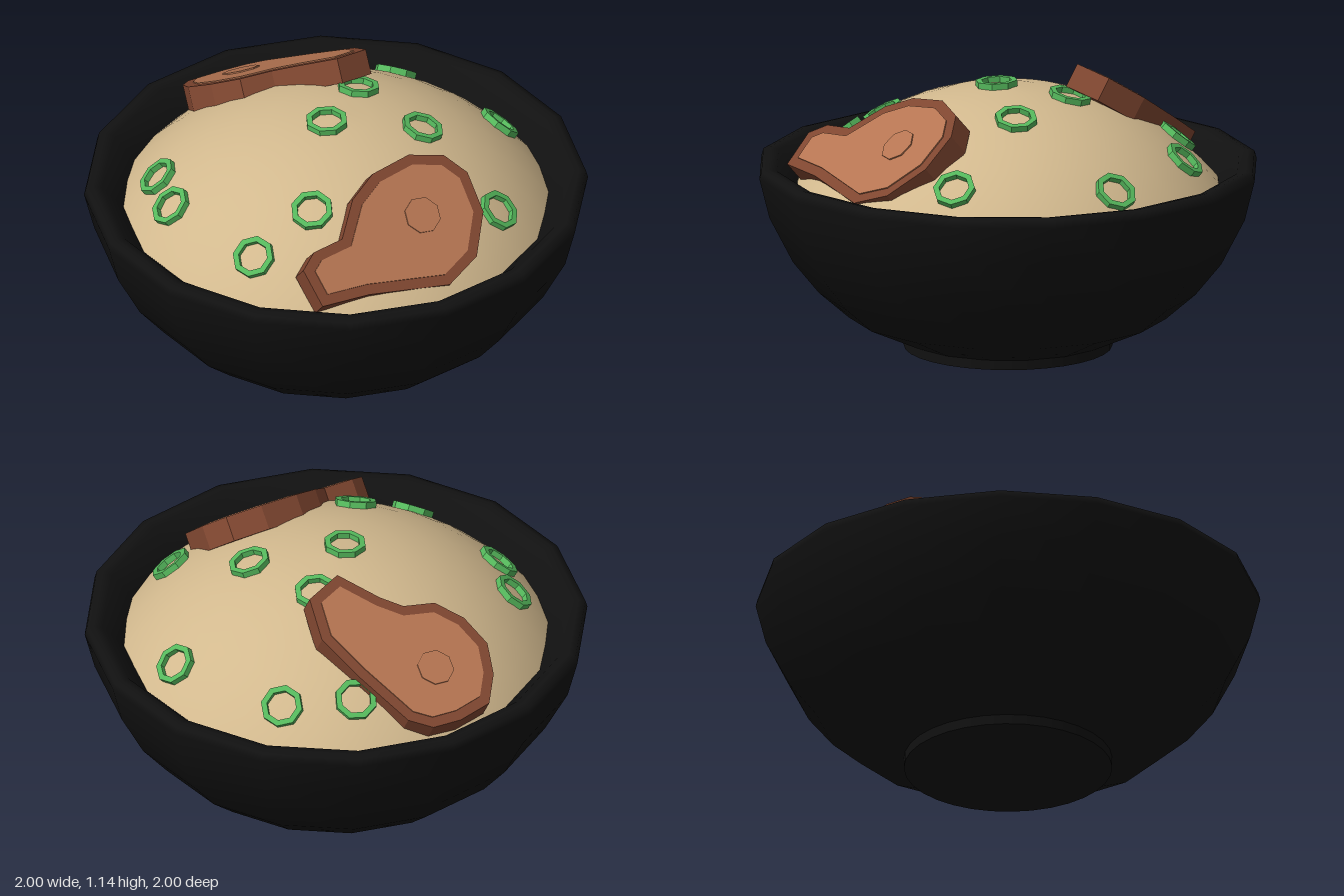
import * as THREE from 'three';

const mat = (name, color, extra = {}) => {
  const m = new THREE.MeshStandardMaterial({ color, ...extra });
  m.name = name;
  return m;
};
const V2 = (x, y) => new THREE.Vector2(x, y);

// Rice dome: cap of a sphere
const DOME_R = 1.086, DOME_Y = -0.03;
const domeHeight = r => Math.sqrt(DOME_R * DOME_R - r * r) + DOME_Y;

function addMesh(parent, name, geometry, material) {
  const mesh = new THREE.Mesh(geometry, material);
  mesh.name = name;
  parent.add(mesh);
  return mesh;
}

// Moves every edge of a counter-clockwise outline inwards by d
function inset(pts, d) {
  const n = pts.length;
  return pts.map((p, i) => {
    const a = p.clone().sub(pts[(i + n - 1) % n]).normalize();
    const b = pts[(i + 1) % n].clone().sub(p).normalize();
    const na = V2(-a.y, a.x), nb = V2(-b.y, b.x);
    const m = na.clone().add(nb).normalize();
    return p.clone().addScaledVector(m, d / Math.max(0.6, m.dot(na)));
  });
}

// Slab lying on the plane through p with slopes sx, sz; outline is given in plan (x, z)
function meatSlice(name, p, sx, sz, plan, mats) {
  const n = new THREE.Vector3(-sx, 1, -sz).normalize();
  const u = new THREE.Vector3(1, sx, 0).normalize();
  const v = n.clone().cross(u);
  let pts = plan.map(([x, z]) => {
    const q = new THREE.Vector3(x - p.x, sx * (x - p.x) + sz * (z - p.z), z - p.z);
    return V2(q.dot(u), q.dot(v));
  });
  if (THREE.ShapeUtils.area(pts) < 0) pts.reverse();

  const group = new THREE.Group();
  group.name = name;
  const T = 0.1;
  const slab = addMesh(group, 'meatSlab',
    new THREE.ExtrudeGeometry(new THREE.Shape(pts), { depth: T, bevelEnabled: false }), mats.crust);
  slab.position.z = -T;
  addMesh(group, 'meatFace', new THREE.ExtrudeGeometry(new THREE.Shape(inset(pts, 0.042)),
    { depth: 0.005, bevelEnabled: false }), mats.meat);
  // round bone mark
  const bone = addMesh(group, 'boneMark', new THREE.CylinderGeometry(0.075, 0.075, 0.009, 8), mats.meat);
  bone.rotation.x = Math.PI / 2;
  bone.position.z = 0.006;

  group.quaternion.setFromRotationMatrix(new THREE.Matrix4().makeBasis(u, v, n));
  group.position.copy(p);
  return group;
}

export function createModel() {
  const model = new THREE.Group();
  model.name = 'riceBowl';
  const black = mat('bowlBlack', 0x111111);
  const rice = mat('riceBeige', 0xd2b98e);
  const green = mat('onionGreen', 0x55b85c, { flatShading: true });
  const mats = {
    crust: mat('crustBrown', 0x7f4630, { flatShading: true }),
    meat: mat('meatBrown', 0xb57552, { flatShading: true }),
  };

  // Bowl: outside, rim and inside in one profile
  const profile = [[0, 0.04], [0.42, 0.04], [0.64, 0.14], [0.76, 0.245], [0.865, 0.375], [0.96, 0.56],
    [1, 0.72], [0.992, 0.75], [0.965, 0.757], [0.93, 0.75], [0.85, 0.665], [0.7, 0.4], [0, 0.15]];
  addMesh(model, 'bowl', new THREE.LatheGeometry(profile.map(([r, y]) => V2(r, y)), 16), black);

  // Foot
  addMesh(model, 'foot', new THREE.CylinderGeometry(0.413, 0.413, 0.06, 32), black).position.y = 0.03;

  // Rice mound
  const dome = [];
  for (let i = 0; i <= 10; i++) {
    const r = 0.87 * Math.cos((i / 10) * Math.PI / 2);
    dome.push(V2(i === 10 ? 0 : r, domeHeight(r)));
  }
  addMesh(model, 'riceMound', new THREE.LatheGeometry(dome, 32), rice);

  // Spring onion rings, each lying on the mound
  const ring = new THREE.LatheGeometry(
    [[0.061, -0.03], [0.085, -0.03], [0.085, 0.02], [0.061, 0.02], [0.061, -0.03]].map(([r, y]) => V2(r, y)),
    8, Math.PI / 8);
  const spots = [[-0.27, -0.66], [0.25, -0.69], [-0.49, -0.47], [-0.09, -0.235], [0.26, -0.22], [0.67, -0.21],
    [0, 0.055], [-0.49, 0.505], [-0.315, 0.625], [0.25, 0.425], [0.165, 0.675]];
  const up = new THREE.Vector3(0, 1, 0);
  for (const [x, z] of spots) {
    const y = domeHeight(Math.hypot(x, z));
    const n = new THREE.Vector3(x, y - DOME_Y, z).normalize();
    const mesh = addMesh(model, 'onionRing', ring, green);
    mesh.position.set(x, y, z);
    mesh.quaternion.setFromUnitVectors(up, n);
  }

  // Two meat slices
  model.add(meatSlice('rightMeatSlice', new THREE.Vector3(-0.65, 0.88, -0.17), 0.576, 0.25, [
    [-0.87, -0.10], [-0.81, 0], [-0.72, 0.07], [-0.60, 0.07], [-0.49, 0.02], [-0.42, -0.09], [-0.34, -0.14],
    [-0.18, -0.21], [-0.17, -0.37], [-0.30, -0.45], [-0.48, -0.44], [-0.71, -0.41], [-0.79, -0.35],
    [-0.84, -0.24]], mats));
  model.add(meatSlice('leftMeatSlice', new THREE.Vector3(0.57, 0.91, 0.13), -0.84, -0.33, [
    [0.58, -0.13], [0.70, -0.09], [0.78, 0.04], [0.78, 0.20], [0.70, 0.35], [0.62, 0.50], [0.54, 0.69],
    [0.42, 0.67], [0.405, 0.59], [0.44, 0.46], [0.38, 0.33], [0.37, 0.20], [0.41, 0.03],
    [0.49, -0.09]], mats));
  return model;
}
